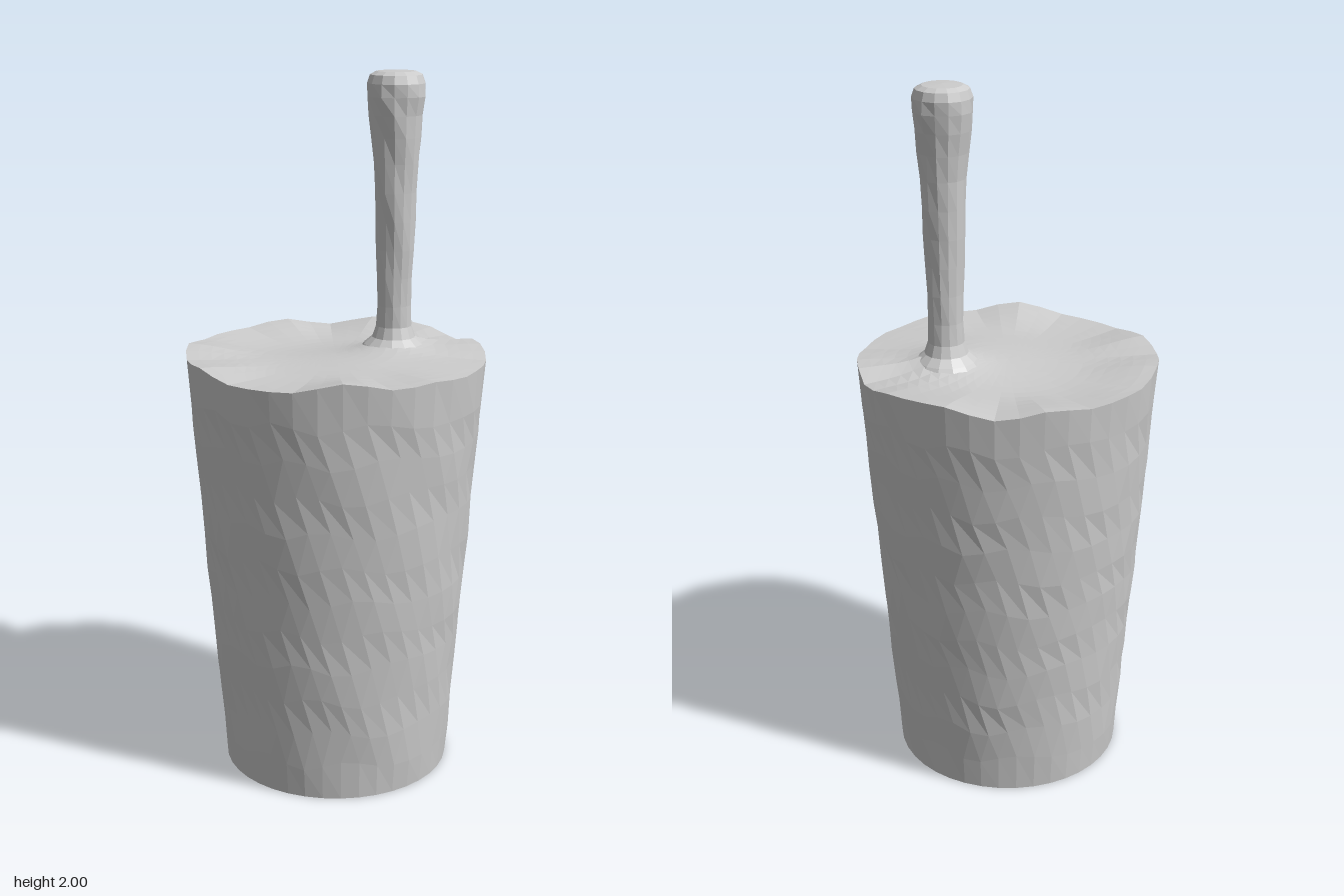
import * as THREE from 'three';

const material = new THREE.MeshStandardMaterial({ color: 0xcccccc, flatShading: true });
const HANDLE_X = 0.175;
const TOP = 1.215;
const SIDES = 40;

// Uneven height of the filling, also followed by the rim
function fillHeight(x, z) {
  const r = Math.hypot(x, z);
  const a = Math.atan2(z, x);
  const rim = THREE.MathUtils.smoothstep(r, 0.2, 0.42);
  const waves = 0.007 * Math.sin(9 * x + 5 * z) + 0.006 * Math.sin(13 * z - 4 * x + 1);
  const scallops = rim * (0.008 + 0.007 * Math.sin(7 * a + 0.6) + 0.005 * Math.sin(11 * a));
  const d = Math.hypot(x - HANDLE_X, z);
  const mound = 0.03 * Math.exp(-((d / 0.09) ** 2));
  const ridge = x > HANDLE_X ? 0.012 * Math.exp(-(((z + 0.01) / 0.035) ** 2)) : 0;
  return waves + scallops + mound + ridge;
}

// Lathe whose vertices are moved by a rule
function turned(name, profile, sides, move) {
  const points = profile.map(([r, y]) => new THREE.Vector2(r, y));
  const geometry = new THREE.LatheGeometry(points, sides);
  const pos = geometry.attributes.position;
  const v = new THREE.Vector3();
  for (let i = 0; i < pos.count; i++) {
    v.fromBufferAttribute(pos, i);
    move(v, i % profile.length);
    pos.setXYZ(i, v.x, v.y, v.z);
  }
  geometry.computeVertexNormals();
  const mesh = new THREE.Mesh(geometry, material);
  mesh.name = name;
  return mesh;
}

export function createModel() {
  const group = new THREE.Group();
  group.name = 'cupWithStick';
  const up = new THREE.Vector3(0, 1, 0);

  // Tapered cup with a flat base; alternate rings turn half a step for triangular facets
  const wall = [[0, 0], [0.328, 0]];
  const rings = 12;
  for (let i = 1; i <= rings; i++) {
    const t = i / rings;
    wall.push([0.328 + 0.094 * t, TOP * t]);
  }
  const last = wall.length - 1;
  group.add(turned('cup', wall, SIDES, (v, k) => {
    if (k > 1 && k < last && k % 2) v.applyAxisAngle(up, Math.PI / SIDES);
    if (k > 1 && k < last) {
      v.y += 0.015 * Math.sin(17 * v.x + 23 * v.z + k);
      const s = 1 + 0.004 * Math.sin(21 * v.x - 13 * v.z + 2 * k);
      v.x *= s;
      v.z *= s;
    }
    if (k === last) v.y += fillHeight(v.x, v.z);
  }));

  // Wavy filling closing the cup
  const surface = [];
  for (let i = 0; i <= 12; i++) surface.push([0.422 * (1 - i / 12), TOP]);
  group.add(turned('filling', surface, SIDES, (v) => {
    v.y += fillHeight(v.x, v.z);
  }));

  // Stick with flared foot and rounded, thicker end
  const stick = [
    [0.115, 1.2], [0.085, 1.238], [0.062, 1.258], [0.051, 1.29], [0.049, 1.35], [0.051, 1.43],
    [0.053, 1.51], [0.056, 1.59], [0.06, 1.67], [0.063, 1.75], [0.068, 1.82], [0.075, 1.88],
    [0.081, 1.93], [0.081, 1.965], [0.073, 1.988], [0.055, 1.997], [0, 2],
  ];
  const handle = turned('handle', stick, 14, (v, k) => {
    if (k > 3 && k < 13) {
      const s = 1 + 0.035 * Math.sin(40 * v.x + 55 * v.z + 1.7 * k);
      v.x *= s;
      v.z *= s;
    }
    // Slight bow toward the front at mid-height
    v.z += 0.006 * Math.sin(Math.PI * THREE.MathUtils.clamp((v.y - 1.3) / 0.7, 0, 1));
  });
  handle.position.x = HANDLE_X;
  group.add(handle);

  return group;
}
